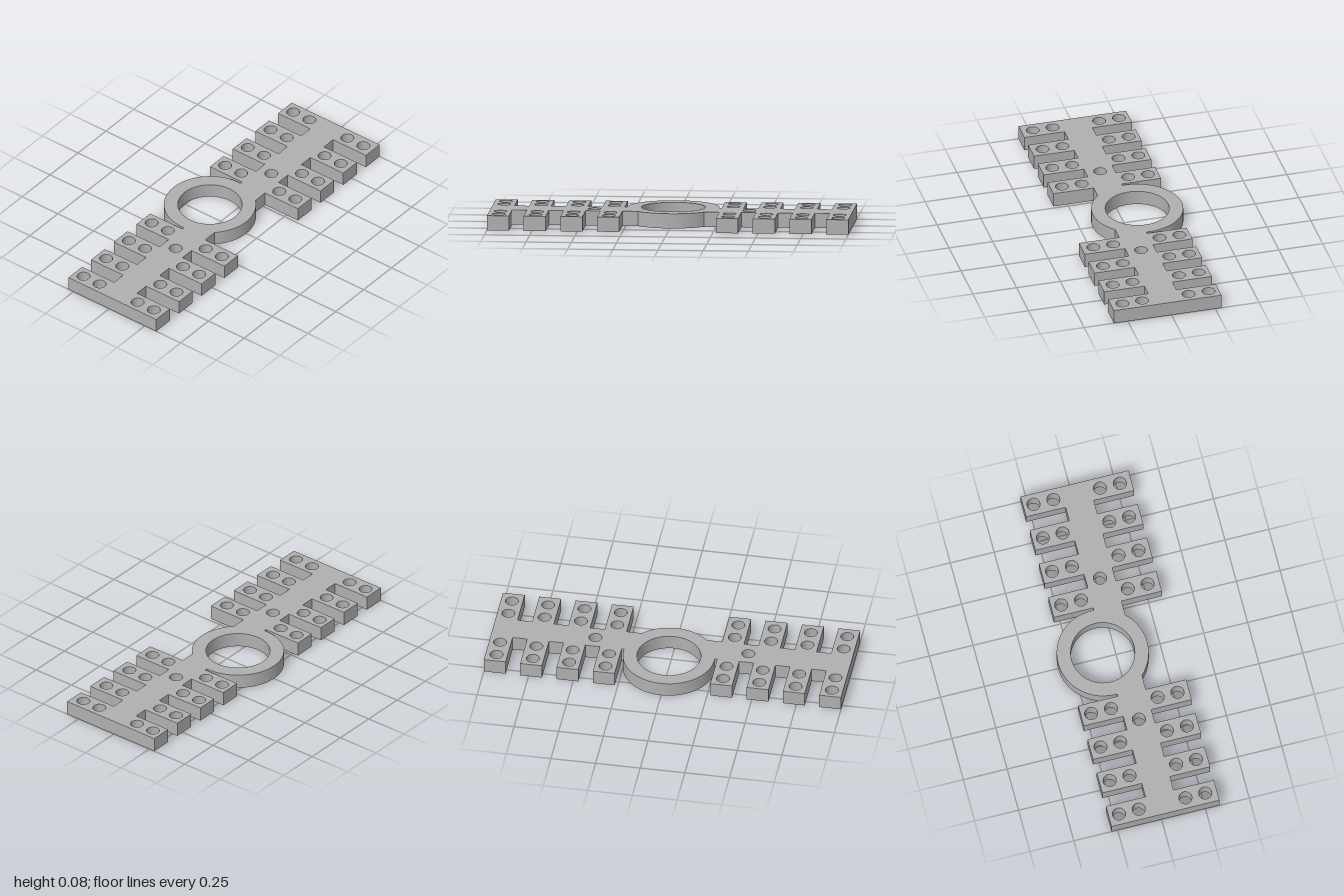
import * as THREE from 'three';
import { toCreasedNormals } from 'three/addons/utils/BufferGeometryUtils.js';

const HEIGHT = 0.082;
const RING = { y: 0.076, outer: 0.254, inner: 0.177 };
const BAR = { front: -0.1, back: 0.06 };
const TEETH = { front: -0.33, back: 0.285, start: 0.268, pitch: 0.2033, width: 0.122, count: 4 };
const HOLE_RADIUS = 0.036;

// The plan is drawn with +y towards the back, then laid flat.
export function createModel() {
  const group = new THREE.Group();
  group.name = 'combPlate';
  const grey = new THREE.MeshStandardMaterial({ color: 0xb0b0b0 });
  grey.name = 'grey';

  // Where the ring meets the front and back edges of the bar
  const angleBack = Math.asin((BAR.back - RING.y) / RING.outer);
  const angleFront = Math.asin((BAR.front - RING.y) / RING.outer);

  // Comb edges of the +x half, from the ring outwards
  const edge = (root, tip) => {
    const points = [];
    for (let i = 0; i < TEETH.count; i++) {
      const a = TEETH.start + i * TEETH.pitch;
      const b = i === TEETH.count - 1 ? 1 : a + TEETH.width;
      points.push([a, root], [a, tip], [b, tip]);
      if (i < TEETH.count - 1) points.push([b, root]);
    }
    return points;
  };
  const front = edge(BAR.front, TEETH.front);
  const back = edge(BAR.back, TEETH.back);
  const right = [...front, ...back.reverse()];
  const left = right.map(([x, y]) => [-x, y]).reverse();

  // Outline: +x comb, back of ring, -x comb, front of ring
  const plate = new THREE.Shape();
  plate.moveTo(Math.cos(angleFront) * RING.outer, BAR.front);
  right.forEach(([x, y]) => plate.lineTo(x, y));
  plate.absarc(0, RING.y, RING.outer, angleBack, Math.PI - angleBack, false);
  left.forEach(([x, y]) => plate.lineTo(x, y));
  plate.absarc(0, RING.y, RING.outer, Math.PI - angleFront, Math.PI * 2 + angleFront, false);

  const addHole = (x, y, r) => {
    const hole = new THREE.Path();
    hole.absarc(x, y, r, 0, Math.PI * 2, true);
    plate.holes.push(hole);
  };

  // Central opening, bar holes and two holes in every tooth
  addHole(0, RING.y, RING.inner);
  for (const side of [-1, 1]) {
    addHole(side * 0.428, -0.019, HOLE_RADIUS);
    for (let i = 0; i < TEETH.count; i++) {
      const x = side * (TEETH.start + i * TEETH.pitch + TEETH.width / 2);
      for (const y of [0.227, 0.114, -0.152, -0.265]) addHole(x, y, HOLE_RADIUS);
    }
  }

  const extruded = new THREE.ExtrudeGeometry(plate, { depth: HEIGHT, bevelEnabled: false, curveSegments: 24 });
  extruded.rotateX(-Math.PI / 2);
  const mesh = new THREE.Mesh(toCreasedNormals(extruded, 0.5), grey);
  mesh.name = 'ringedCombPlate';
  group.add(mesh);
  return group;
}
